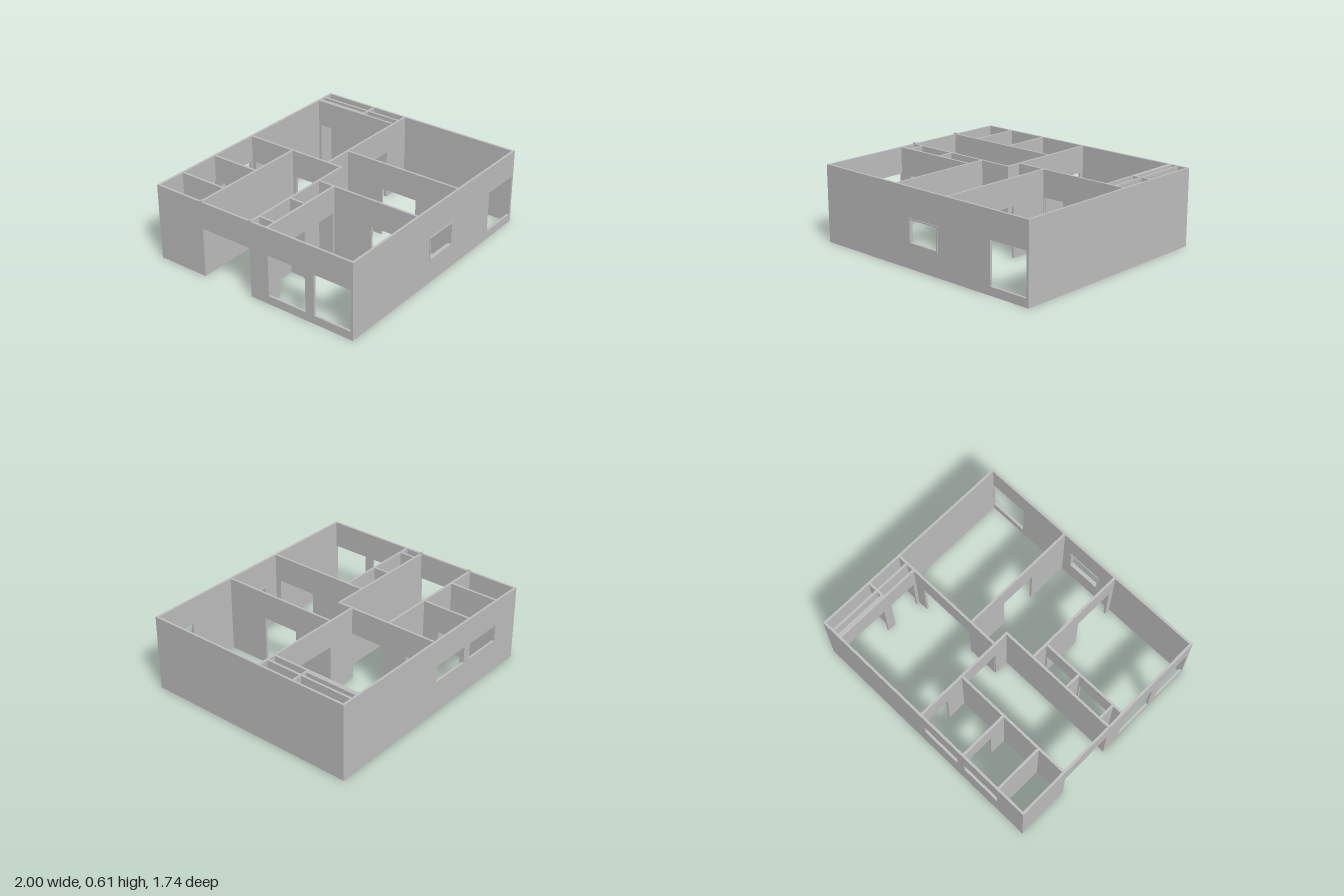
import * as THREE from 'three';

const H = 0.6;       // wall height
const HEAD = 0.39;   // head of doors and windows
const SILL = 0.065;  // low sill of the large openings
const T = 0.018;     // wall thickness

export function createModel() {
  const house = new THREE.Group();
  house.name = 'houseWalls';
  const plaster = new THREE.MeshStandardMaterial({ color: 0xbfbfbf });
  plaster.name = 'grey plaster';

  // A wall along x or z, centred on `at`; openings are [from, to, bottom, top].
  // Openings that reach the floor become notches, the others become holes.
  function wall(name, axis, at, a, b, openings = [], base = 0, thick = T, top = H) {
    const shape = new THREE.Shape();
    shape.moveTo(a, base);
    for (const [p, q, low, high] of openings) {
      if (low > base) {
        const hole = new THREE.Path();
        hole.moveTo(p, low);
        hole.lineTo(p, high);
        hole.lineTo(q, high);
        hole.lineTo(q, low);
        hole.closePath();
        shape.holes.push(hole);
      } else {
        shape.lineTo(p, base);
        shape.lineTo(p, high);
        shape.lineTo(q, high);
        shape.lineTo(q, base);
      }
    }
    shape.lineTo(b, base);
    shape.lineTo(b, top);
    shape.lineTo(a, top);
    shape.closePath();
    const geo = new THREE.ExtrudeGeometry(shape, { depth: thick, bevelEnabled: false });
    geo.translate(0, 0, -thick / 2);
    if (axis === 'z') geo.rotateY(-Math.PI / 2); // shape x becomes +z
    const mesh = new THREE.Mesh(geo, plaster);
    mesh.name = name;
    if (axis === 'x') mesh.position.z = at;
    else mesh.position.x = at;
    house.add(mesh);
  }
  const door = (p, q) => [p, q, 0, HEAD];

  // Outer walls
  wall('frontWall', 'x', 0.855, -1, 1, [[-0.11, 0.155, 0.195, 0.365], [0.66, 0.98, SILL, HEAD]]);
  wall('backWall', 'x', -0.861, -1, 1, [[-0.745, -0.42, 0.26, HEAD], [-0.35, -0.02, 0.26, HEAD]]);
  wall('rightWall', 'z', -0.991, -0.87, 0.864,
    [door(-0.45, -0.01), [0.145, 0.466, SILL, HEAD], [0.54, 0.846, SILL, HEAD]]);
  wall('leftWall', 'z', 0.991, -0.87, 0.864);

  // Porch posts, slightly taller than the walls
  for (const z of [-0.454, -0.005]) wall('porchPost', 'x', z, -1, -0.98, [], 0, T, 0.61);

  // Back rooms
  wall('backRoomsWall', 'x', -0.458, -0.99, 0.005);
  wall('backPartition', 'z', -0.75, -0.86, -0.46);
  wall('backPartition', 'z', -0.41, -0.86, -0.46, [door(-0.8, -0.6)]);
  wall('centreWall', 'z', 0.006, -0.86, 0.004, [door(-0.82, -0.62), door(-0.42, -0.13)]);

  // Middle walls
  wall('porchWall', 'x', -0.005, -0.99, 0.014);
  wall('livingRoomWall', 'x', -0.125, 0.006, 0.99, [door(0.26, 0.74)]);

  // Hall between the two front rooms
  wall('hallWall', 'z', -0.255, -0.005, 0.855, [door(0.47, 0.8)]);
  wall('hallWall', 'z', 0.246, -0.125, 0.855, [door(0.2, 0.5)]);

  // Front room closets
  wall('closetFront', 'x', 0.134, -0.99, -0.255, [door(-0.88, -0.6), door(-0.55, -0.28)]);
  for (const x of [-0.902, -0.578]) wall('closetPartition', 'z', x, -0.005, 0.134);

  // Side closets
  wall('sideClosetFront', 'z', 0.832, -0.86, -0.125, [door(-0.83, -0.46), door(-0.39, -0.16)]);
  wall('sideClosetDivider', 'x', -0.425, 0.832, 0.99);
  wall('sideClosetHeader', 'z', 0.851, -0.86, -0.425, [], HEAD);
  wall('sideClosetHeader', 'z', 0.905, -0.86, -0.125, [], HEAD);

  // Frame around the front window
  wall('windowFrame', 'x', 0.855, -0.12, 0.165, [[-0.11, 0.155, 0.195, 0.365]], 0.185, 0.03, 0.375);

  return house;
}
